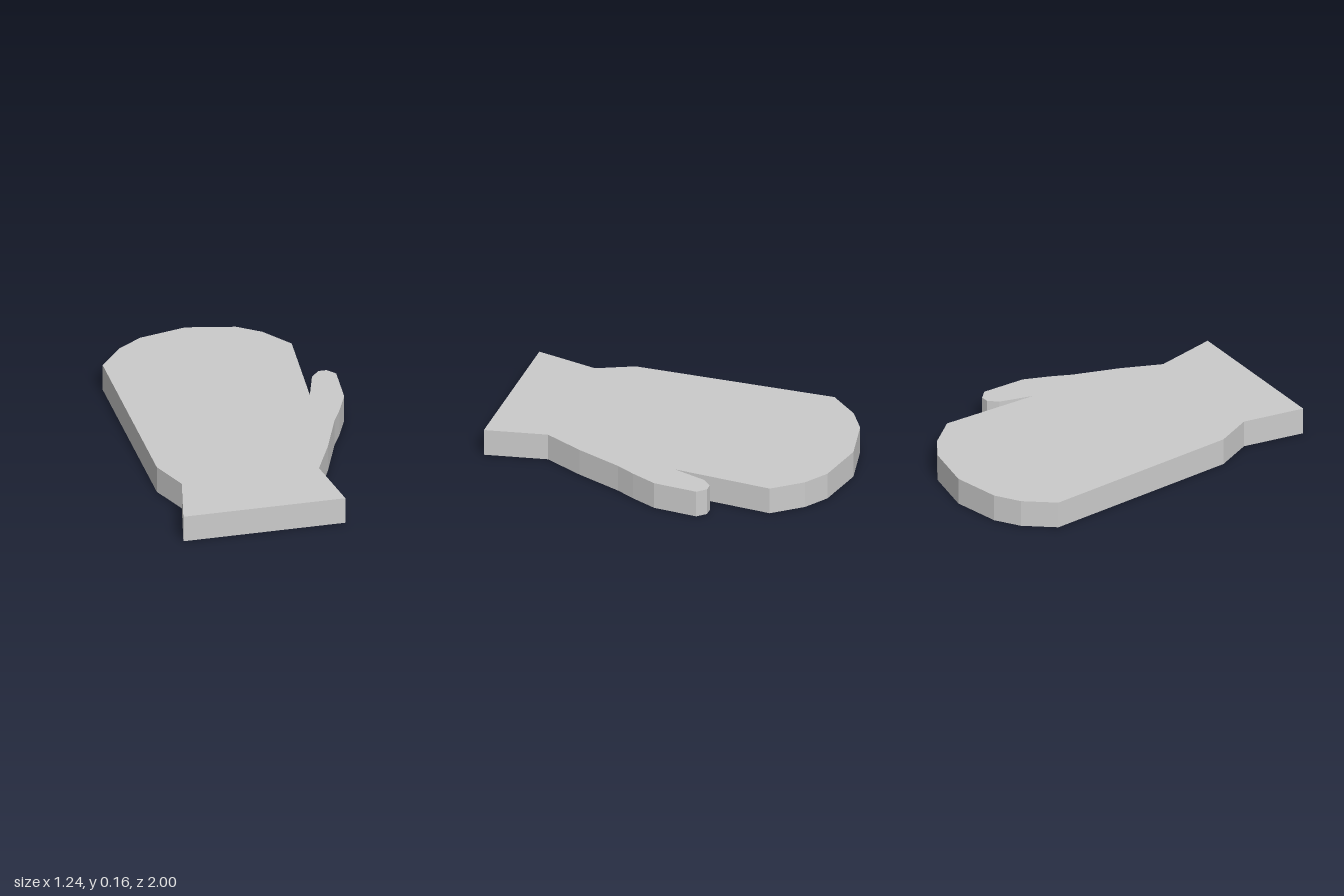
import * as THREE from 'three';

const THICKNESS = 0.157;

// Outline seen from above as [x, z], grouped by region
const cuffLeftSide = [[0.30, 0.65], [0.37, 1]];
const cuffRightSide = [[-0.545, 1], [-0.475, 0.65]];
const palmEdge = [[-0.57, 0.445], [-0.618, -0.70]];
const fingertips = [
  [-0.485, -0.86], [-0.35, -0.945], [-0.085, -1],
  [0.19, -0.945], [0.32, -0.86], [0.45, -0.70],
];
const thumb = [
  [0.425, -0.135], [0.48, -0.325], [0.527, -0.377], [0.573, -0.377],
  [0.618, -0.33], [0.607, -0.08], [0.547, 0.065], [0.495, 0.17], [0.40, 0.43],
];

export function createModel() {
  const group = new THREE.Group();
  group.name = 'mitten';

  const outline = [...cuffRightSide, ...palmEdge, ...fingertips, ...thumb, ...cuffLeftSide];
  const shape = new THREE.Shape(outline.map(([x, z]) => new THREE.Vector2(x, -z)));

  // Flat slab laid down so its thickness runs up y
  const geometry = new THREE.ExtrudeGeometry(shape, { depth: THICKNESS, bevelEnabled: false });
  geometry.rotateX(-Math.PI / 2);

  const body = new THREE.Mesh(
    geometry,
    new THREE.MeshStandardMaterial({ color: 0xcccccc, flatShading: true }),
  );
  body.name = 'mittenBody';
  group.add(body);
  return group;
}
